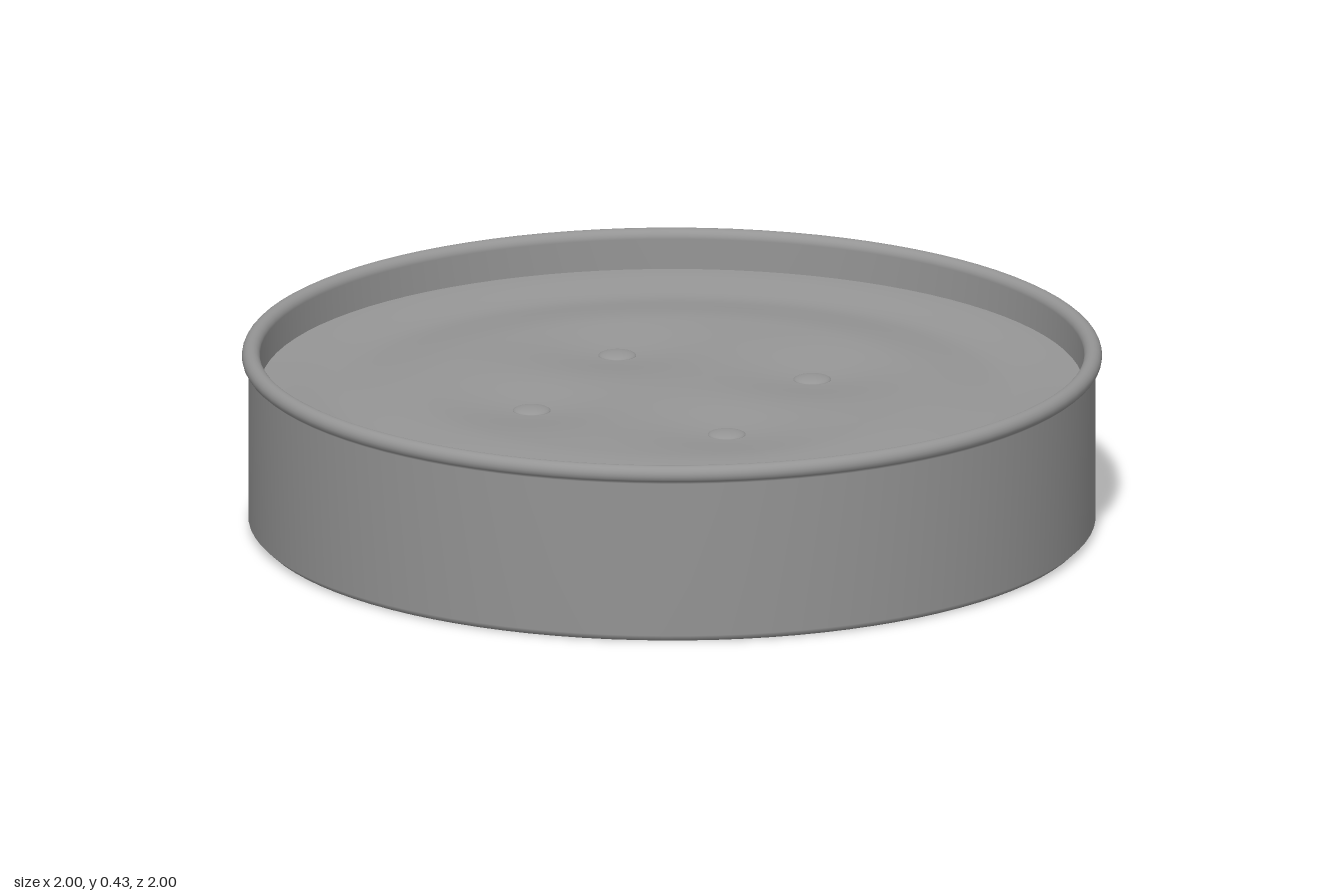
import * as THREE from 'three';

const SEGMENTS = 96;
const WICK_RADIUS = 0.35;
const wicks = [0, 1, 2, 3].map((i) => {
  const a = (i * Math.PI) / 2;
  return [WICK_RADIUS * Math.cos(a), WICK_RADIUS * Math.sin(a)];
});

// Height of the wax: raised at the edge, a shallow moat, a low swell, and a melted dip at each wick
function waxHeight(x, z) {
  const r = Math.hypot(x, z);
  let y = 0.312 + 0.022 * THREE.MathUtils.smoothstep(r, 0.76, 0.96);
  y += 0.022 * (1 - THREE.MathUtils.smoothstep(r, 0.56, 0.82));
  for (const [wx, wz] of wicks) {
    y -= 0.025 * Math.exp(-((x - wx) ** 2 + (z - wz) ** 2) / 0.035);
  }
  return y;
}

export function createModel() {
  const group = new THREE.Group();
  const material = new THREE.MeshStandardMaterial({ color: 0x959595 });
  const add = (name, geometry) => {
    const mesh = new THREE.Mesh(geometry, material);
    mesh.name = name;
    group.add(mesh);
    return mesh;
  };

  // Tin: flat base, softly bevelled foot, straight wall, rolled rim and inner wall
  const profile = [[0, 0], [0.968, 0], [0.985, 0.016], [0.985, 0.384]];
  for (let i = 0; i <= 12; i++) {
    const a = -0.7 + (i / 12) * (Math.PI + 0.7);
    profile.push([0.979 + 0.021 * Math.cos(a), 0.406 + 0.021 * Math.sin(a)]);
  }
  profile.push([0.958, 0.29]);
  add('tin', new THREE.LatheGeometry(profile.map(([x, y]) => new THREE.Vector2(x, y)), SEGMENTS));

  // Wax filling, its top shaped by waxHeight
  const rings = 48;
  const points = [];
  for (let i = 0; i <= rings; i++) points.push(new THREE.Vector2(0.957 * (1 - i / rings), 0));
  const wax = new THREE.LatheGeometry(points, SEGMENTS);
  const pos = wax.attributes.position;
  for (let i = 0; i < pos.count; i++) pos.setY(i, waxHeight(pos.getX(i), pos.getZ(i)));
  wax.computeVertexNormals();
  add('wax', wax);

  // Four wick ends just showing above the wax
  for (const [x, z] of wicks) {
    const wick = add('wick', new THREE.SphereGeometry(0.045, 24, 12));
    wick.scale.y = 0.25;
    wick.position.set(x, waxHeight(x, z), z);
  }

  return group;
}
